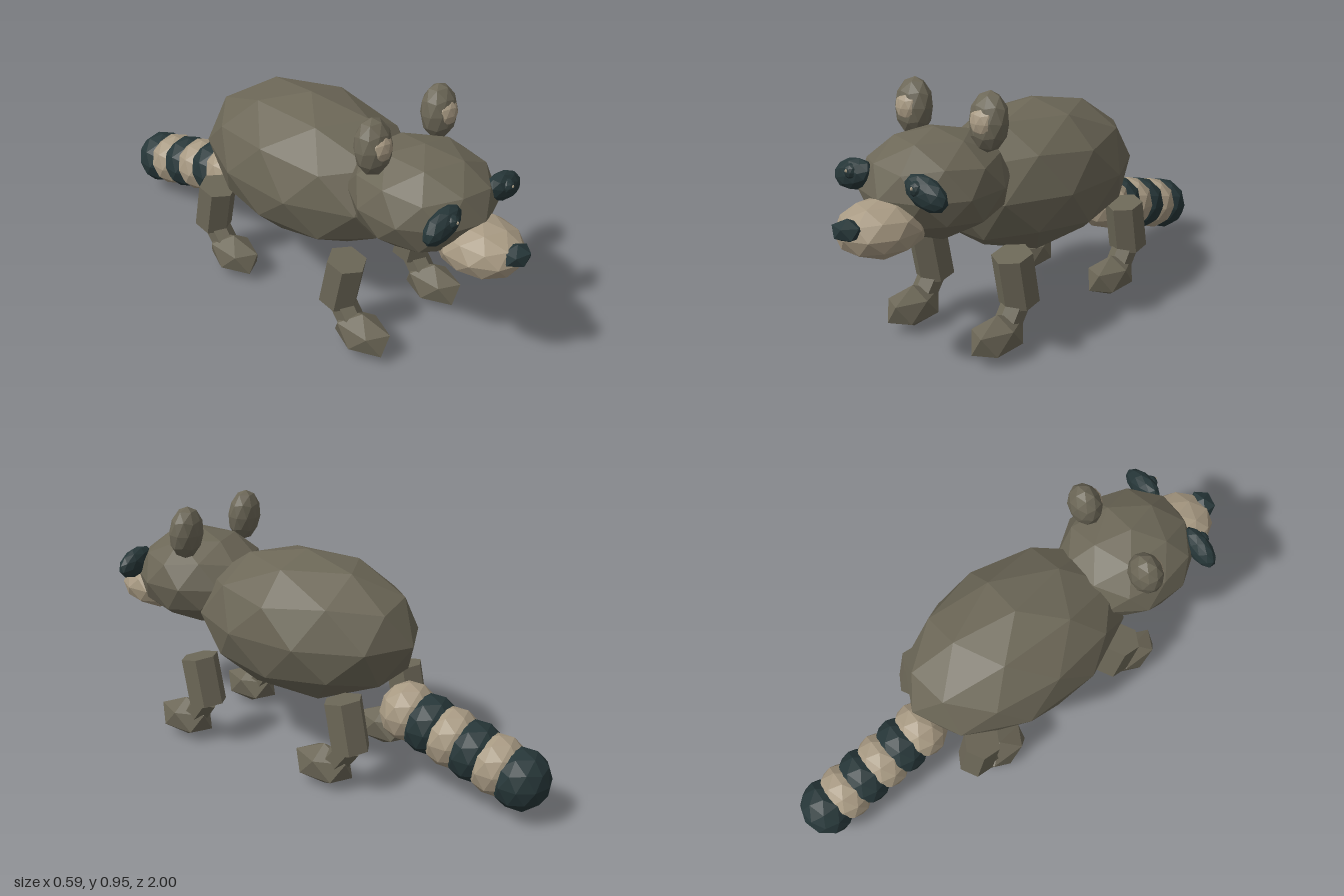
import * as THREE from 'three';

const mat = (name, color) => {
  const m = new THREE.MeshStandardMaterial({ color, flatShading: true });
  m.name = name;
  return m;
};

export function createModel() {
  const model = new THREE.Group();
  model.name = 'stripedTailAnimal';
  const fur = mat('greyBrownFur', 0x6c6757);
  const cream = mat('creamFur', 0xa89a83);
  const dark = mat('darkFur', 0x263638);

  // Faceted ellipsoid with a vertex pointing straight up
  const blob = (name, material, [x, y, z], [rx, ry, rz], detail = 1) => {
    const g = new THREE.IcosahedronGeometry(1, detail);
    g.rotateZ(-Math.atan(2 / (1 + Math.sqrt(5))));
    g.scale(rx, ry, rz);
    g.computeVertexNormals();
    const m = new THREE.Mesh(g, material);
    m.name = name;
    m.position.set(x, y, z);
    model.add(m);
    return m;
  };

  // Six-sided prism between two points
  const prism = (name, a, b, r) => {
    const from = new THREE.Vector3(...a), to = new THREE.Vector3(...b);
    const dir = to.clone().sub(from);
    const m = new THREE.Mesh(new THREE.CylinderGeometry(r, r, dir.length(), 6), fur);
    m.name = name;
    m.position.copy(from).add(to).multiplyScalar(0.5);
    m.quaternion.setFromUnitVectors(new THREE.Vector3(0, -1, 0), dir.normalize());
    model.add(m);
  };

  // Body and head
  blob('body', fur, [0, 0.538, 0.03], [0.308, 0.284, 0.475]);
  blob('head', fur, [0, 0.63, 0.56], [0.25, 0.19, 0.27]);
  blob('muzzle', cream, [0, 0.538, 0.815], [0.137, 0.098, 0.165]);
  blob('nose', dark, [0, 0.567, 0.958], [0.06, 0.04, 0.05], 0);

  for (const [side, s] of [['left', 1], ['right', -1]]) {
    // Ears
    const ear = blob(side + 'Ear', fur, [s * 0.172, 0.848, 0.48], [0.074, 0.104, 0.06]);
    ear.rotation.x = -0.1;
    blob(side + 'InnerEar', cream, [s * 0.172, 0.85, 0.503], [0.054, 0.058, 0.043]);

    // Eye patches and eyes
    const patch = blob(side + 'EyePatch', dark, [s * 0.166, 0.676, 0.775], [0.09, 0.055, 0.041]);
    patch.rotation.z = -s * 0.3;
    blob(side + 'Eye', dark, [s * 0.15, 0.693, 0.797], [0.028, 0.028, 0.028]);
    blob(side + 'EyeGlint', cream, [s * 0.15, 0.699, 0.82], [0.007, 0.007, 0.007], 0);

    // Legs
    for (const [end, dz] of [['Front', 0], ['Hind', -0.69]]) {
      const x = s * 0.205;
      prism(side + end + 'UpperLeg', [x, 0.366, 0.408], [x, 0.175, 0.37], 0.074);
      prism(side + end + 'LowerLeg', [x, 0.19, 0.378], [x, 0.08, 0.46], 0.05);
      for (const m of model.children.slice(-2)) m.position.z += dz;
      blob(side + end + 'Foot', fur, [x, 0.084, 0.49 + dz], [0.081, 0.082, 0.132], 0);
    }
  }

  // Ringed tail of overlapping balls
  for (let i = 0; i < 6; i++) {
    const t = i / 5;
    blob('tailRing' + (i + 1), i % 2 ? dark : cream,
      [0, 0.285 - 0.13 * t, -0.435 - 0.46 * t], [0.115, 0.114, 0.106]);
  }
  return model;
}
